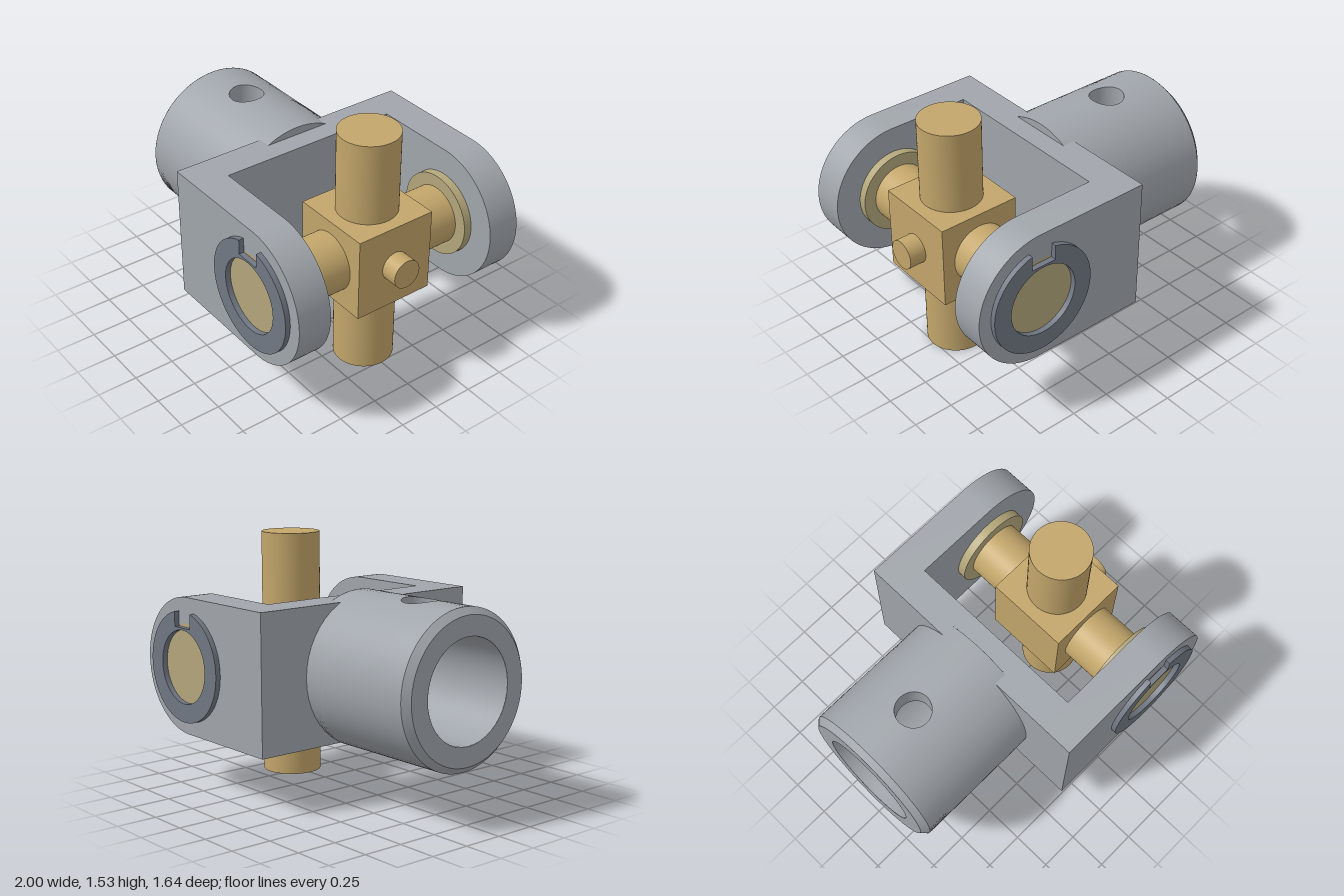
import * as THREE from 'three';
import { toCreasedNormals } from 'three/addons/utils/BufferGeometryUtils.js';

const CY = 0.765;      // height of the shaft axis
const PX = 0.58;       // x of the cross centre
const HOLE_X = -0.605, HOLE_R = 0.107;

const steel = new THREE.MeshStandardMaterial({ color: 0xa1a6ac, side: THREE.DoubleSide });
steel.name = 'steel';
const darkSteel = new THREE.MeshStandardMaterial({ color: 0x717884 });
darkSteel.name = 'dark steel';
const brass = new THREE.MeshStandardMaterial({ color: 0xc3a66b });
brass.name = 'brass';
const bronze = new THREE.MeshStandardMaterial({ color: 0xb4a77b });
bronze.name = 'bronze';

function add(parent, name, geometry, material, x = 0, y = 0, z = 0) {
  const mesh = new THREE.Mesh(geometry, material);
  mesh.name = name;
  mesh.position.set(x, y, z);
  parent.add(mesh);
  return mesh;
}

// Surface through closed rows of points
function loft(rows) {
  const n = rows[0].length, index = [];
  for (let r = 0; r < rows.length - 1; r++) {
    for (let i = 0; i < n; i++) {
      const a = r * n + i, b = r * n + (i + 1) % n;
      index.push(a, b, a + n, b, b + n, a + n);
    }
  }
  const geometry = new THREE.BufferGeometry().setFromPoints(rows.flat());
  geometry.setIndex(index);
  geometry.computeVertexNormals();
  return geometry;
}

// Rows running from the round drilled hole to the edges of an unrolled tube
function drilledTubeRows(R, x0, x1, steps) {
  const rows = [], perSide = 40;
  for (let s = 0; s <= steps; s++) {
    const t = s / steps, row = [];
    for (let i = 0; i < perSide * 4; i++) {
      const side = Math.floor(i / perSide);
      const a = Math.atan(-1 + 2 * (i % perSide) / perSide) + side * Math.PI / 2;
      const c = Math.cos(a), d = Math.sin(a), m = Math.max(Math.abs(c), Math.abs(d));
      const edgeX = HOLE_X + (c / m) * (c > 0 ? x1 - HOLE_X : HOLE_X - x0);
      const x = THREE.MathUtils.lerp(HOLE_X + HOLE_R * c, edgeX, t);
      const angle = THREE.MathUtils.lerp(Math.asin(HOLE_R * d / R), Math.PI * d / m, t);
      row.push(new THREE.Vector3(x, R * Math.cos(angle), R * Math.sin(angle)));
    }
    rows.push(row);
  }
  return rows;
}

function createHub() {
  const hub = new THREE.Group();
  hub.name = 'hub';
  hub.position.y = CY;
  const outer = drilledTubeRows(0.47, -0.96, -0.08, 24);
  const inner = drilledTubeRows(0.31, -1, -0.16, 24);
  add(hub, 'hubOuterWall', loft(outer), steel);
  add(hub, 'hubBore', loft(inner), steel);
  add(hub, 'drilledHole', loft([outer[0], inner[0]]), steel);

  // Chamfered rim and closed inner end
  const rim = new THREE.LatheGeometry([
    new THREE.Vector2(0.31, -1), new THREE.Vector2(0.43, -1), new THREE.Vector2(0.47, -0.96),
  ], 80).rotateZ(-Math.PI / 2);
  add(hub, 'hubRim', toCreasedNormals(rim, 0.5), steel);
  const end = new THREE.CircleGeometry(0.47, 80).rotateY(Math.PI / 2);
  add(hub, 'hubEnd', end, steel, -0.08);
  return hub;
}

function extrude(shape, depth) {
  const geometry = new THREE.ExtrudeGeometry(shape, { depth, bevelEnabled: false, curveSegments: 48 });
  return toCreasedNormals(geometry.translate(0, 0, -depth / 2), 0.5);
}

function circlePath(r) {
  return new THREE.Path().absarc(0, 0, r, 0, Math.PI * 2, true);
}

// Yoke arm with a rounded end and a bearing hole
function armShape() {
  const shape = new THREE.Shape();
  shape.moveTo(-0.74, -0.42);
  shape.lineTo(0, -0.42);
  shape.absarc(0, 0, 0.42, -Math.PI / 2, Math.PI / 2, false);
  shape.lineTo(-0.74, 0.42);
  shape.closePath();
  shape.holes.push(circlePath(0.26));
  return shape;
}

// Retaining ring with a notch at the top
function ringShape() {
  const w = 0.08, r = 0.34, a = Math.asin(w / r), shape = new THREE.Shape();
  shape.absarc(0, 0, r, Math.PI / 2 + a, Math.PI * 2.5 - a, false);
  shape.lineTo(w, 0.238);
  shape.lineTo(-w, 0.238);
  shape.closePath();
  shape.holes.push(circlePath(0.225));
  return shape;
}

export function createModel() {
  const model = new THREE.Group();
  model.name = 'universalJoint';
  model.add(createHub());

  // Yoke web and the two arms with their bearings
  add(model, 'yokeWeb', new THREE.BoxGeometry(0.21, 0.84, 1.17), steel, -0.055, CY, 0);
  const armGeometry = extrude(armShape(), 0.21);
  const ringGeometry = extrude(ringShape(), 0.033);
  const bushGeometry = new THREE.CylinderGeometry(0.26, 0.26, 0.26, 64).rotateX(Math.PI / 2);
  for (const side of [1, -1]) {
    const name = side > 0 ? 'front' : 'back';
    add(model, name + 'Arm', armGeometry, steel, PX, CY, side * 0.685);
    add(model, name + 'RetainingRing', ringGeometry, darkSteel, PX, CY, side * 0.805);
    add(model, name + 'Bushing', bushGeometry, bronze, PX, CY, side * 0.658);
  }

  // Cross: centre block, two shafts and the grease nipple
  const cross = new THREE.Group();
  cross.name = 'cross';
  cross.position.set(PX, CY, 0);
  model.add(cross);
  add(cross, 'centreBlock', new THREE.BoxGeometry(0.52, 0.52, 0.52), brass);
  add(cross, 'verticalShaft', new THREE.CylinderGeometry(0.182, 0.182, 1.53, 64), brass);
  add(cross, 'crossShaft', new THREE.CylinderGeometry(0.182, 0.182, 1.3, 64).rotateX(Math.PI / 2), brass);
  add(cross, 'greaseNipple', new THREE.CylinderGeometry(0.09, 0.09, 0.12, 48).rotateZ(Math.PI / 2), brass, 0.305);
  return model;
}
